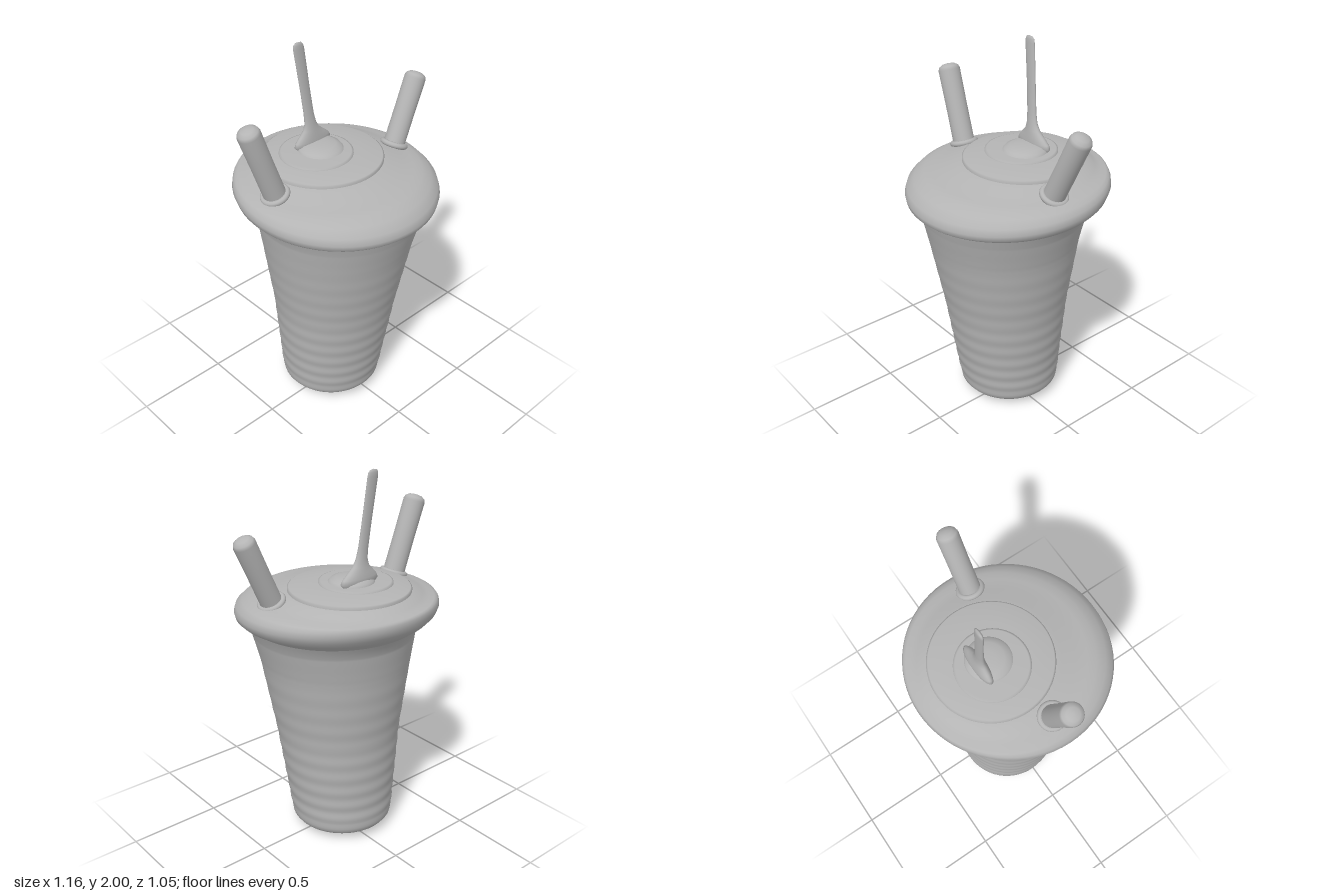
import * as THREE from 'three';
import { mergeVertices } from 'three/addons/utils/BufferGeometryUtils.js';

const grey = new THREE.MeshStandardMaterial({ color: 0xb4b4b4 });
grey.name = 'grey';

// Skin stacked ellipses: [y, radiusX, radiusZ, centreX, centreZ, tilt]
function loft(name, sections, sides = 64) {
  const geo = new THREE.LatheGeometry(sections.map((s) => new THREE.Vector2(1, s[0])), sides);
  const p = geo.attributes.position;
  for (let i = 0; i < p.count; i++) {
    const [y, rx, rz, cx, cz, tilt = 0] = sections[i % sections.length];
    const z = p.getZ(i) * rz;
    p.setXYZ(i, p.getX(i) * rx + cx, y - tilt * z, z + cz);
  }
  geo.deleteAttribute('uv');
  geo.deleteAttribute('normal');
  const merged = mergeVertices(geo, 1e-5);
  merged.computeVertexNormals();
  const mesh = new THREE.Mesh(merged, grey);
  mesh.name = name;
  return mesh;
}

const round = (y, r, cx, cz, tilt) => [y, r, r, cx, cz, tilt];

// Straight tube with a softly rounded end and a collar at its foot
function straw(name, foot, tip, r) {
  const from = new THREE.Vector3(...foot);
  const dir = new THREE.Vector3(...tip).sub(from);
  const h = dir.length();
  const group = new THREE.Group();
  group.name = name;
  group.add(loft('tube', [
    round(-0.04, r, 0, 0), round(h * 0.5, r * 0.98, 0, 0), round(h - 0.025, r, 0, 0),
    round(h - 0.008, r * 0.88, 0, 0), round(h + 0.004, r * 0.55, 0, 0), round(h + 0.008, 0, 0, 0),
  ], 32));
  group.position.copy(from);
  group.quaternion.setFromUnitVectors(new THREE.Vector3(0, 1, 0), dir.normalize());
  const collar = new THREE.Mesh(new THREE.TorusGeometry(r + 0.004, 0.015, 10, 32), grey);
  collar.name = 'collar';
  collar.rotation.x = Math.PI / 2;
  collar.position.y = 0.012;
  group.add(collar);
  return group;
}

export function createModel() {
  const model = new THREE.Group();
  model.name = 'cupWithStraws';

  // Tapered cup wall with fine ripples
  const wall = [[0.1, 0.278, -0.03, -0.02], [0.2, 0.288, -0.03, -0.013], [0.6, 0.333, -0.024, 0.008],
    [1.0, 0.397, -0.02, 0.024], [1.15, 0.428, -0.012, 0.03]];
  const cup = [round(0, 0, -0.03, -0.02), round(0.008, 0.12, -0.03, -0.02), round(0.028, 0.215, -0.03, -0.02),
    round(0.05, 0.258, -0.03, -0.02), round(0.068, 0.272, -0.03, -0.02), round(0.085, 0.275, -0.03, -0.02)];
  for (let k = 0; k < wall.length - 1; k++) {
    const a = wall[k], b = wall[k + 1];
    const n = Math.round((b[0] - a[0]) / 0.0125);
    for (let i = 0; i < n; i++) {
      const [y, r, cx, cz] = a.map((v, j) => v + (b[j] - v) * i / n);
      const ripple = 0.0022 * Math.sin(70 * Math.pow(y, 0.85)) * (1.15 - y);
      cup.push(round(y, r + ripple, cx, cz));
    }
  }
  cup.push(round(1.15, 0.428, -0.012, 0.03), round(1.19, 0.442, -0.01, 0.028), round(1.23, 0.46, -0.01, 0.02));
  model.add(loft('cup', cup, 72));

  // Bulging lid rim, highest at the back
  model.add(loft('lidRim', [
    round(1.19, 0.435, -0.01, 0.028), round(1.212, 0.455, -0.01, 0.022, 0.01),
    round(1.232, 0.493, -0.01, 0.018, 0.03), round(1.255, 0.515, -0.01, 0.01, 0.05),
    round(1.285, 0.524, -0.01, 0.005, 0.06), round(1.315, 0.517, -0.01, 0, 0.05),
    round(1.34, 0.495, -0.01, -0.018, 0.025), round(1.354, 0.465, -0.01, -0.04, 0.005),
    round(1.36, 0.43, -0.01, -0.05), round(1.372, 0.385, -0.01, -0.07),
    round(1.392, 0.335, -0.01, -0.09), round(1.398, 0.3, -0.01, -0.095),
  ], 72));

  // Raised off-centre lid discs
  model.add(loft('lidDisc', [
    round(1.385, 0.313, -0.01, -0.097), round(1.407, 0.313, -0.01, -0.097), round(1.413, 0.305, -0.01, -0.097),
    round(1.428, 0.2, -0.02, -0.1), round(1.43, 0, -0.03, -0.11),
  ]));
  model.add(loft('lidStep', [
    round(1.42, 0.19, -0.04, -0.11), round(1.434, 0.188, -0.04, -0.11), round(1.438, 0.178, -0.04, -0.11),
    round(1.443, 0, -0.04, -0.11),
  ]));
  model.add(loft('lidMound', [
    round(1.435, 0.12, -0.01, -0.11), round(1.452, 0.11, -0.01, -0.115), round(1.463, 0.085, -0.01, -0.12),
    round(1.468, 0.045, -0.01, -0.125), round(1.469, 0, -0.01, -0.13),
  ]));

  // Flat upright stirrer with a flared foot
  model.add(loft('stirrer', [
    [1.435, 0.1, 0.028, -0.01, -0.17], [1.455, 0.118, 0.035, -0.01, -0.17], [1.475, 0.108, 0.034, -0.012, -0.17],
    [1.5, 0.082, 0.03, -0.016, -0.169], [1.53, 0.05, 0.025, -0.02, -0.168], [1.565, 0.035, 0.019, -0.025, -0.168],
    [1.62, 0.03, 0.016, -0.032, -0.171], [1.75, 0.03, 0.013, -0.046, -0.178], [1.965, 0.033, 0.011, -0.071, -0.188],
    [1.985, 0.03, 0.01, -0.073, -0.189], [1.996, 0.02, 0.007, -0.074, -0.189], [2, 0, 0, -0.074, -0.189],
  ], 28));

  // Two leaning straws
  model.add(straw('rightStraw', [-0.393, 1.365, -0.01], [-0.531, 1.768, -0.02], 0.057));
  model.add(straw('leftStraw', [0.37, 1.365, 0.037], [0.537, 1.722, 0.025], 0.056));

  return model;
}
